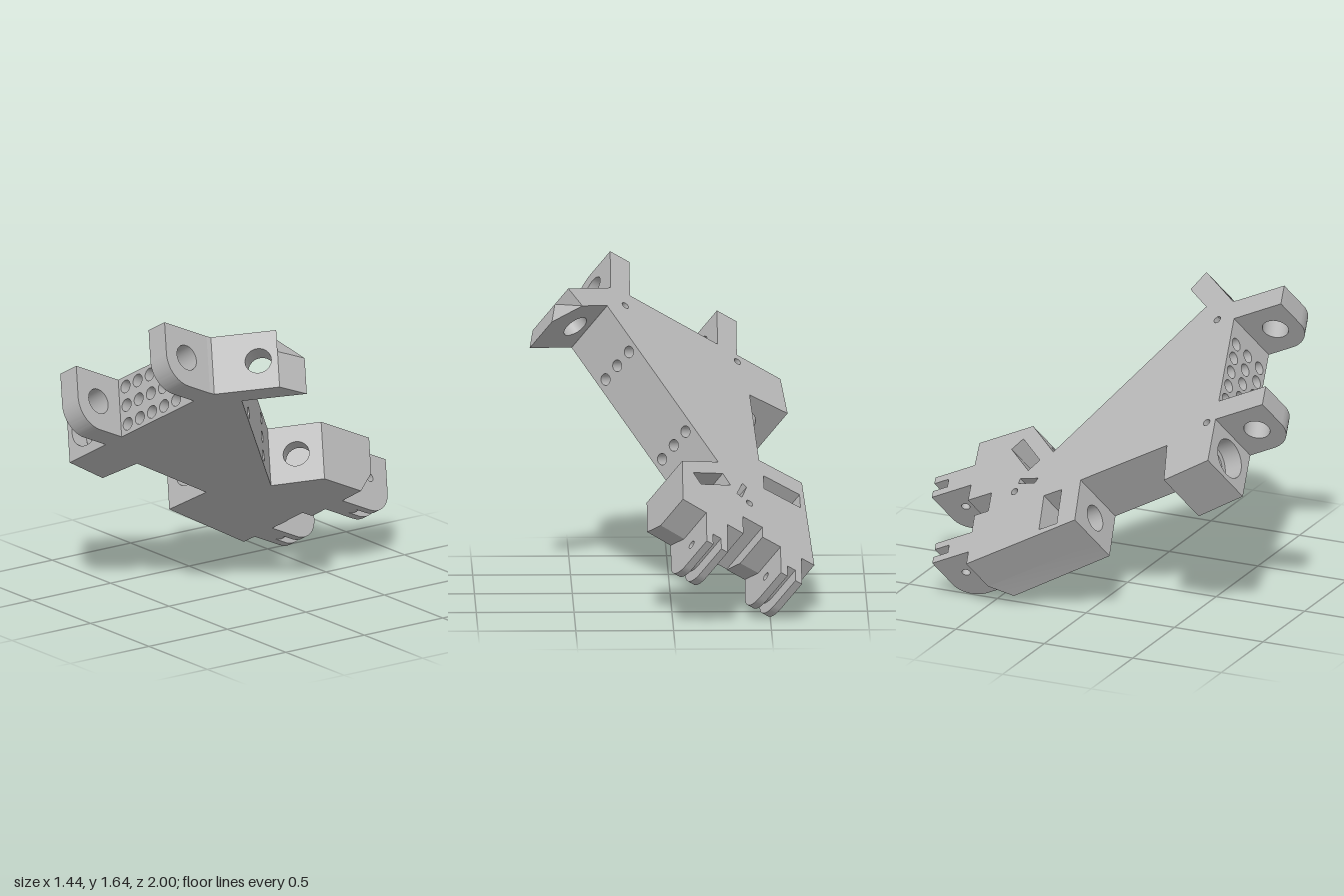
import * as THREE from 'three';
import { toCreasedNormals } from 'three/addons/utils/BufferGeometryUtils.js';

const T = 0.32; // plate thickness
const V3 = (x, y, z) => new THREE.Vector3(x, y, z);
const V2 = (x, y) => new THREE.Vector2(x, y);
const DEPTH = V3(0, 0, 1);

export function createModel() {
  const grey = new THREE.MeshStandardMaterial({ color: 0xb6b6b6, side: THREE.DoubleSide });
  grey.name = 'machinedGrey';
  const bracket = new THREE.Group();
  bracket.name = 'bracket';

  const add = (name, geo, matrix) => {
    if (matrix) geo.applyMatrix4(matrix);
    const m = new THREE.Mesh(geo, grey);
    m.name = name;
    bracket.add(m);
    return m;
  };
  const basis = (x, y, z, p) => new THREE.Matrix4().makeBasis(x, y, z).setPosition(p);
  const circle = (x, y, r) => new THREE.Path().absarc(x, y, r, 0, Math.PI * 2, true);

  // the lower edge of the far end is bevelled
  const bevel = (geo) => {
    const p = geo.attributes.position;
    for (let i = 0; i < p.count; i++) {
      if (p.getZ(i) > T - 0.01 && p.getY(i) < -0.4) p.setY(i, p.getY(i) + 0.08);
    }
    geo.computeVertexNormals();
    return geo;
  };

  // bore lining: open tube going in from a face at z = from, with an optional floor
  const bore = (h, m) => {
    const from = h.from || 0;
    const tube = new THREE.CylinderGeometry(h.r, h.r, h.deep, 24, 1, true);
    tube.rotateX(Math.PI / 2).translate(h.d, h.s, -from - h.deep / 2);
    add('bore', tube, m);
    if (h.blind) add('boreFloor', new THREE.CircleGeometry(h.r, 24).translate(h.d, h.s, -h.deep), m);
  };

  // upright wall from a to b, from the top face down, with holes at (d down, s along)
  const wall = (name, a, b, deep, holes = []) => {
    const dir = V3(b.x - a.x, b.y - a.y, 0);
    const len = dir.length();
    dir.normalize();
    const m = basis(DEPTH, dir, V3(-dir.y, dir.x, 0), V3(a.x, a.y, 0));
    const bands = holes.length || deep < T ? [[0, deep]] : [[0, 0.2], [0.2, deep]];
    for (const [d0, d1] of bands) {
      const s = new THREE.Shape([V2(d0, 0), V2(d1, 0), V2(d1, len), V2(d0, len)]);
      for (const h of holes) s.holes.push(circle(h.d, h.s, h.r));
      const geo = new THREE.ShapeGeometry(s, 12).applyMatrix4(m);
      add(name, bevel(geo));
    }
    for (const h of holes) if (h.deep) bore(h, m);
    return m;
  };

  // plate outline, clockwise
  const outline = [
    [-0.165, 1.055], [0.89, 1.055], [0.914, 0.854], [0.235, 0.02], [0.46, -0.145], [0.46, -0.48],
    [0.315, -0.485], [0.18, -0.485], [0.085, -0.487], [0.085, -0.34], [-0.035, -0.34], [-0.035, -0.425],
    [-0.357, -0.42], [-0.288, 0.245], [-0.022, 0.235], [0.03, 0.765], [-0.206, 0.787],
  ].map(([x, y]) => V2(x, y));
  const edge = (i) => [outline[i], outline[(i + 1) % outline.length]];

  // holes by wall number
  const rows = [0.055, 0.16, 0.265];
  const front = [{ d: 0.165, s: 0.135, r: 0.105, deep: 0.1 }];
  for (const d of rows) for (let i = 0; i < 5; i++) front.push({ d, s: 0.805 - 0.091 * i, r: 0.034, deep: 0.2, blind: true });
  const diagonal = [];
  for (const d of rows) for (const k of [0.25, 0.76]) diagonal.push({ d, s: 1.075 * k, r: 0.03, deep: 0.15, blind: true });
  const wallHoles = {
    0: front,
    2: diagonal,
    3: [{ d: 0.16, s: 0.14, r: 0.068, deep: 0.08 }],
    13: [{ d: 0.16, s: 0.133, r: 0.07, deep: 0.115 }],
    15: [{ d: 0.165, s: 0.06, r: 0.075 }],
  };
  outline.forEach((_, i) => {
    const m = wall('plateEdge', ...edge(i), T, wallHoles[i]);
    if (i === 0) { // counterbore step and inner bore
      add('counterboreStep', new THREE.RingGeometry(0.075, 0.105, 32).translate(0.165, 0.135, -0.1), m);
      bore({ d: 0.165, s: 0.135, r: 0.075, from: 0.1, deep: 0.18 }, m);
    }
  });

  const top = new THREE.Shape(outline);

  // blind pockets behind the two drilled end walls
  const pocket = (i, off, width, inset, hole) => {
    const [a, b] = edge(i);
    const dir = b.clone().sub(a).normalize();
    const at = (s, o) => V2(a.x + dir.x * s + dir.y * o, a.y + dir.y * s - dir.x * o);
    const len = a.distanceTo(b);
    const q = [at(inset, off), at(len - inset, off), at(len - inset, off + width), at(inset, off + width)];
    top.holes.push(new THREE.Path(q));
    q.forEach((p, k) => wall('pocketWall', p, q[(k + 1) % 4], 0.27,
      k === 0 ? [{ d: hole.d, s: hole.s - inset, r: hole.r }] : []));
    add('pocketFloor', new THREE.ShapeGeometry(new THREE.Shape(q)).translate(0, 0, 0.27));
  };
  pocket(3, 0.08, 0.08, 0.025, wallHoles[3][0]);
  pocket(13, 0.115, 0.11, 0.02, wallHoles[13][0]);

  // small blind holes and a slit in the top face
  for (const [x, y] of [[0.8, 0.945], [0.103, 1.0], [0.043, -0.189]]) {
    top.holes.push(circle(x, y, 0.02));
    bore({ d: x, s: y, r: 0.02, from: -0.1, deep: 0.1 });
    add('pinHoleFloor', new THREE.CircleGeometry(0.02, 16).translate(x, y, 0.1));
  }
  const slit = [V2(0.06, -0.065), V2(0.085, -0.05), V2(0.12, -0.165), V2(0.09, -0.175)];
  top.holes.push(new THREE.Path(slit));
  slit.forEach((p, k) => wall('slitWall', p, slit[(k + 1) % 4], 0.12));
  add('slitFloor', new THREE.ShapeGeometry(new THREE.Shape(slit)).translate(0, 0, 0.12));

  add('plateTop', new THREE.ShapeGeometry(top, 12));
  add('plateBottom', bevel(new THREE.ShapeGeometry(new THREE.Shape(outline)).translate(0, 0, T)));

  // lug with one rounded lower corner; side = 1 points to the front, -1 to the far end
  const lug = (name, u, v, side, len, width, round, hole) => {
    const s = new THREE.Shape();
    s.moveTo(0, 0).lineTo(len, 0);
    s.lineTo(len, T - round);
    s.absarc(len - round, T - round, round, 0, Math.PI / 2, false);
    s.lineTo(0, T);
    if (hole) s.holes.push(circle(hole.x, hole.d, hole.r));
    const geo = new THREE.ExtrudeGeometry(s, { depth: width, bevelEnabled: false, curveSegments: 14 });
    add(name, toCreasedNormals(geo, 0.5), basis(V3(0, side, 0), DEPTH, V3(side, 0, 0), V3(u, v, 0)));
  };
  for (const u of [0.106, 0.77]) lug('frontLug', u, 1.055, 1, 0.293, 0.12, 0.145, { x: 0.15, d: 0.16, r: 0.068 });

  // forked fingers: two prongs and a shorter web
  for (const [u, tip] of [[0.315, -0.73], [-0.147, -0.647]]) {
    const base = tip + 0.33;
    const pin = { x: 0.21, d: 0.135, r: 0.022 };
    lug('fingerProng', u, base, -1, 0.33, 0.04, 0.13, pin);
    lug('fingerProng', u - 0.09, base, -1, 0.33, 0.04, 0.13, pin);
    lug('fingerWeb', u - 0.04, base, -1, 0.24, 0.05, 0.12);
  }

  // angled arm with a slanted end and one clipped corner
  const L = 0.342;
  const armShape = new THREE.Shape([V2(0, 0), V2(L, 0), V2(L, 0.12), V2(L, T), V2(0, T)]);
  armShape.holes.push(circle(0.24, 0.16, 0.068));
  const arm = new THREE.ExtrudeGeometry(armShape, { depth: 0.12, bevelEnabled: false, curveSegments: 14 });
  const p = arm.attributes.position;
  for (let i = 0; i < p.count; i++) {
    if (p.getZ(i) > 0.06 && p.getX(i) > L - 0.001) p.setX(i, p.getY(i) > 0.1 ? 0.465 : 0.327);
  }
  const dir = V3(0.78, -0.626, 0).normalize();
  add('angledArm', toCreasedNormals(arm, 0.5), basis(dir, DEPTH, V3(dir.y, -dir.x, 0), V3(0.89, 1.03, 0)));

  // tilt the whole bracket into place
  const u = V3(0.827, 0.513, -0.232).normalize();
  const t = V3(0.564, -0.748, 0.35);
  t.addScaledVector(u, -t.dot(u)).normalize();
  const v = t.clone().cross(u);
  bracket.applyMatrix4(basis(u, v, t, t.clone().multiplyScalar(-0.772)));

  const model = new THREE.Group();
  model.name = 'model';
  model.add(bracket);
  return model;
}
